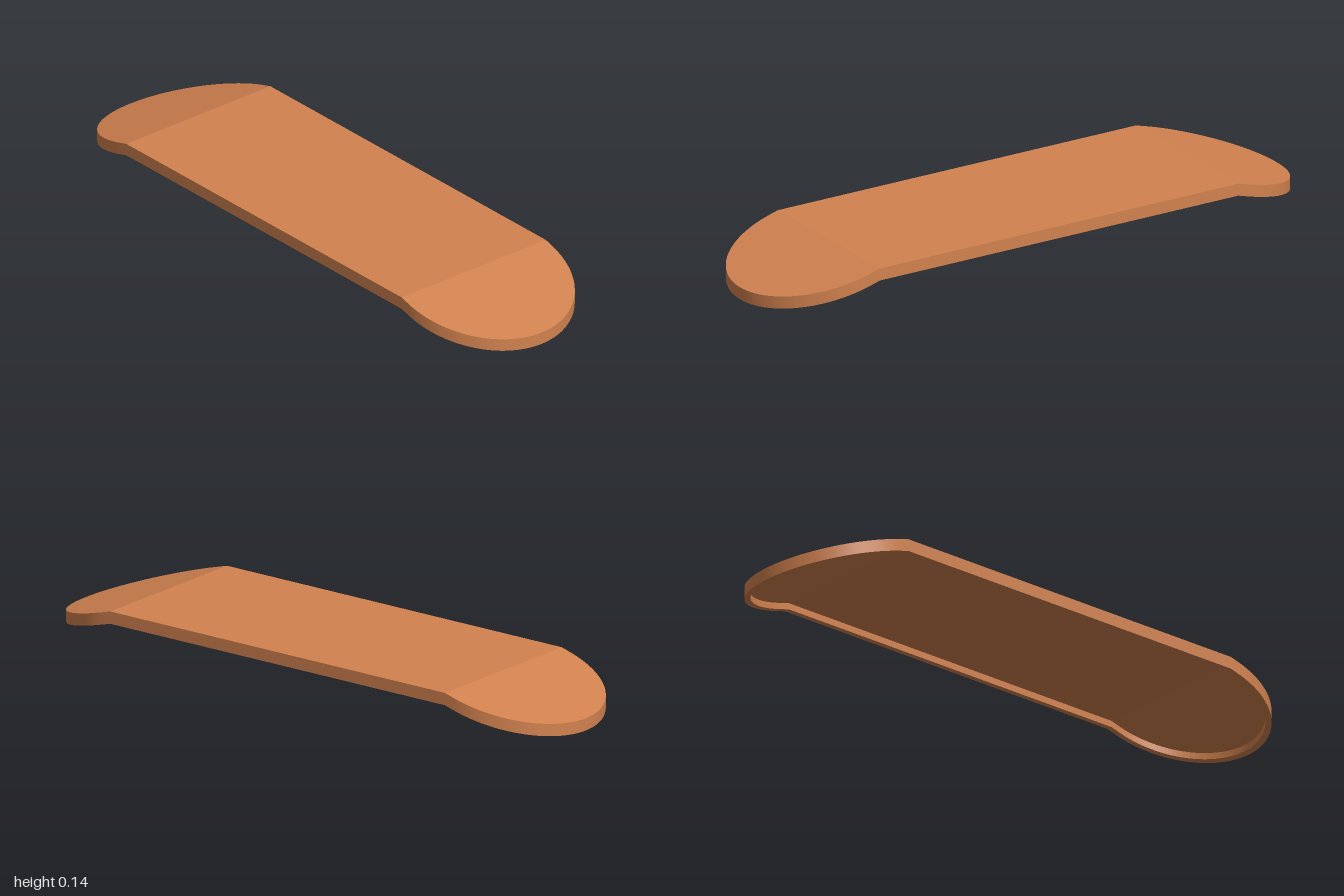
import * as THREE from 'three';
import { toCreasedNormals } from 'three/addons/utils/BufferGeometryUtils.js';

const CENTRE = 0.734;   // distance from middle to each end-arc centre
const FOLD = 0.7;       // where the ends bend downward
const SLOPE = 0.283;    // fall of the bent ends
const R_OUT = 0.31, R_IN = 0.29;
const TOP = 0.14, CEILING = 0.12, BOTTOM = 0.0975;
const ARC_STEPS = 32;

// One side of the rounded outline, from the +z tip to the -z tip
function sideOutline(radius, height, sign) {
  const half = [];
  for (let i = 0; i <= ARC_STEPS; i++) {
    const a = (i / ARC_STEPS) * Math.PI / 2;
    half.push([radius * Math.sin(a), CENTRE + radius * Math.cos(a)]);
  }
  half.push([radius, FOLD]);
  const all = [...half, ...half.map(([x, z]) => [x, -z]).reverse()];
  return all.map(([x, z]) => new THREE.Vector3(
    sign * x, height - Math.max(0, Math.abs(z) - FOLD) * SLOPE, z));
}

// Full closed outline
function loop(radius, height) {
  return [...sideOutline(radius, height, 1), ...sideOutline(radius, height, -1).reverse()];
}

// Surface stretched between two matching point rows
function strip(a, b) {
  const points = [];
  for (let i = 0; i < a.length - 1; i++) {
    for (const tri of [[a[i], b[i], b[i + 1]], [a[i], b[i + 1], a[i + 1]]]) {
      const area = new THREE.Triangle(...tri).getArea();
      if (area > 1e-9) points.push(...tri);
    }
  }
  const geometry = new THREE.BufferGeometry().setFromPoints(points);
  geometry.computeVertexNormals();
  return toCreasedNormals(geometry, 0.2);
}

export function createModel() {
  const group = new THREE.Group();
  group.name = 'bentCover';
  const material = new THREE.MeshStandardMaterial({ color: 0xd2824f });
  const add = (name, a, b) => {
    const mesh = new THREE.Mesh(strip(a, b), material);
    mesh.name = name;
    group.add(mesh);
  };

  // Folded plate, upper and lower faces
  add('topPlate', sideOutline(R_OUT, TOP, -1), sideOutline(R_OUT, TOP, 1));
  add('undersidePlate', sideOutline(R_IN, CEILING, 1), sideOutline(R_IN, CEILING, -1));

  // Thin rim around the hollow underside
  add('outerWall', loop(R_OUT, TOP), loop(R_OUT, BOTTOM));
  add('innerWall', loop(R_IN, BOTTOM), loop(R_IN, CEILING));
  add('rimEdge', loop(R_OUT, BOTTOM), loop(R_IN, BOTTOM));

  group.rotation.y = THREE.MathUtils.degToRad(20);
  return group;
}
